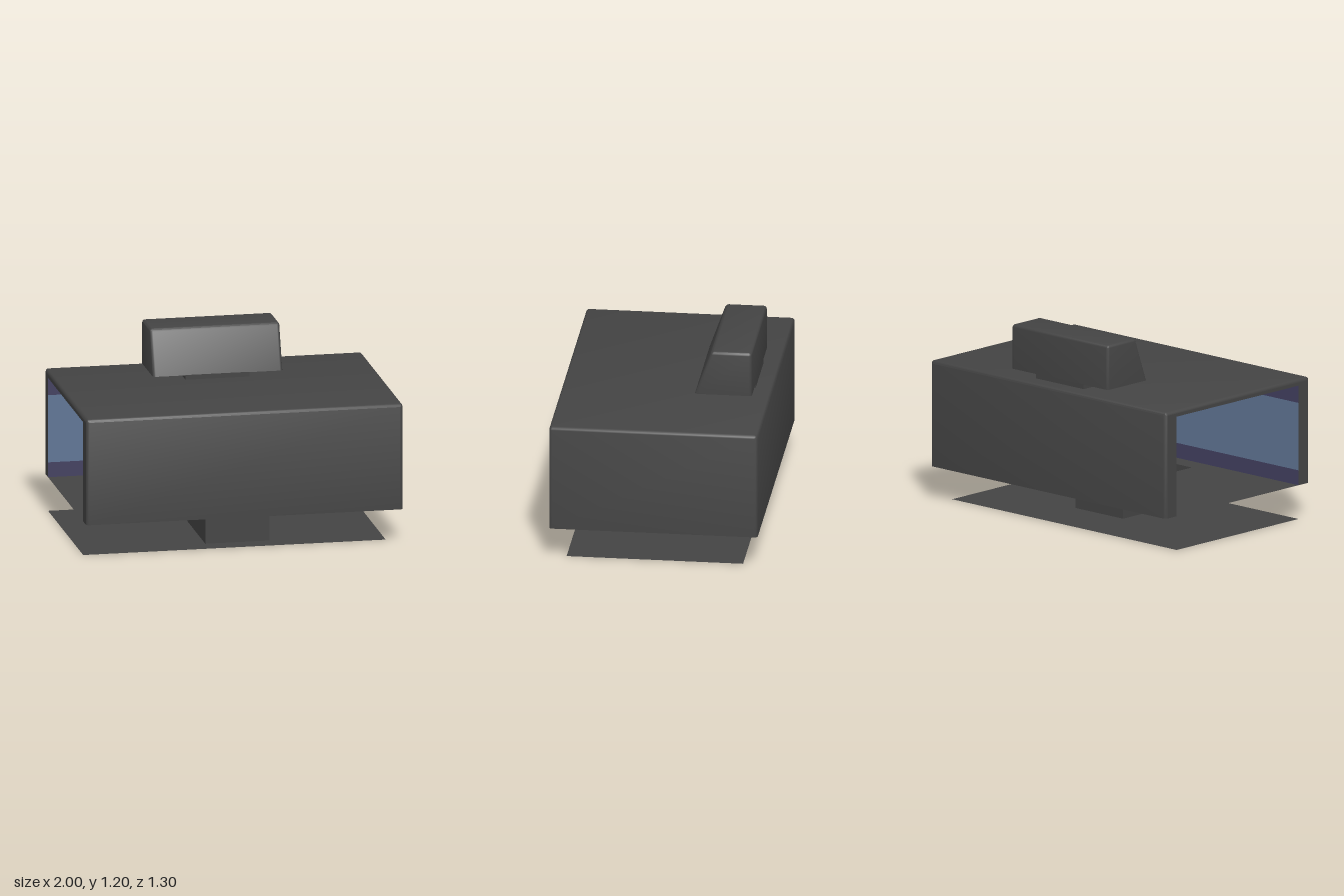
import * as THREE from 'three';
import { toCreasedNormals } from 'three/addons/utils/BufferGeometryUtils.js';

export function createModel() {
  const model = new THREE.Group();
  const flat = (name, color) => {
    const m = new THREE.MeshStandardMaterial({ color, side: THREE.DoubleSide });
    m.name = name;
    return m;
  };
  const grey = flat('dark grey', 0x444444);
  const purple = flat('dusky purple', 0x424060);
  const blue = flat('slate blue', 0x607595);

  const add = (name, geometry, material, parent = model) => {
    const mesh = new THREE.Mesh(geometry, material);
    mesh.name = name;
    parent.add(mesh);
    return mesh;
  };
  const group = (name) => {
    const g = new THREE.Group();
    g.name = name;
    model.add(g);
    return g;
  };
  const rect = (path, x0, x1, y0, y1) =>
    path.moveTo(x0, y0).lineTo(x1, y0).lineTo(x1, y1).lineTo(x0, y1).closePath();

  // Upright sheet, turned about y
  const panel = (name, mat, parent, w, y0, y1, x, z, turn = 0) => {
    const mesh = add(name, new THREE.PlaneGeometry(w, y1 - y0), mat, parent);
    mesh.position.set(x, (y0 + y1) / 2, z);
    mesh.rotation.y = turn;
  };

  // Level sheet, with an optional rectangular hole
  const sheet = (name, mat, parent, y, area, hole) => {
    const shape = new THREE.Shape();
    rect(shape, ...area);
    if (hole) {
      const h = new THREE.Path();
      rect(h, ...hole);
      shape.holes.push(h);
    }
    add(name, new THREE.ShapeGeometry(shape).rotateX(Math.PI / 2), mat, parent).position.y = y;
  };

  // Hood with rounded top and upright edges, open below; slope draws the front in with height
  const STEPS = 3;
  const hood = ({ x, z0, z1, y0, y1, r, slope = 0, openLeftEnd = false }) => {
    const rings = [];
    const ring = (y, inset) => {
      const k = r - inset;
      const front = z1 - slope * (y - y0) - inset;
      const corners = [[x - inset - k, front - k, 0], [-x + inset + k, front - k, 1],
        [-x + inset + k, z0 + inset + k, 2], [x - inset - k, z0 + inset + k, 3]];
      const points = [];
      for (const [cx, cz, q] of corners) {
        for (let i = 0; i <= STEPS; i++) {
          const a = (q + i / STEPS) * Math.PI / 2;
          points.push([cx + k * Math.cos(a), y, cz + k * Math.sin(a)]);
        }
      }
      rings.push(points);
    };
    ring(y0, 0);
    for (let i = 0; i <= STEPS; i++) {
      const a = (i / STEPS) * Math.PI / 2;
      ring(y1 - r + r * Math.sin(a), r * (1 - Math.cos(a)));
    }
    const pos = [];
    const n = rings[0].length;
    for (let j = 0; j < rings.length - 1; j++) {
      for (let i = 0; i < n; i++) {
        if (openLeftEnd && j === 0 && i === 2 * STEPS + 1) continue;
        const [a, b] = [rings[j][i], rings[j][(i + 1) % n]];
        const [c, d] = [rings[j + 1][i], rings[j + 1][(i + 1) % n]];
        pos.push(...a, ...c, ...b, ...b, ...c, ...d);
      }
    }
    const top = rings[rings.length - 1];
    for (let i = 1; i < n - 1; i++) pos.push(...top[0], ...top[i + 1], ...top[i]);
    const g = new THREE.BufferGeometry();
    g.setAttribute('position', new THREE.Float32BufferAttribute(pos, 3));
    g.computeVertexNormals();
    return toCreasedNormals(g, 0.6);
  };

  const FLOOR = 0.215, CEILING = 0.85, END = 0.91, DEPTH = 0.55;

  // Outer casing, open below and at one end
  add('casing', hood({ x: 1, z0: -0.65, z1: 0.65, y0: FLOOR, y1: 0.89, r: 0.02, openLeftEnd: true }), grey);

  // Rim round the open end
  const rim = new THREE.Shape();
  rim.moveTo(-0.63, FLOOR).lineTo(-DEPTH, FLOOR).lineTo(-DEPTH, CEILING).lineTo(DEPTH, CEILING)
    .lineTo(DEPTH, FLOOR).lineTo(0.63, FLOOR).lineTo(0.63, 0.87).lineTo(-0.63, 0.87).closePath();
  add('openEndRim', new THREE.ShapeGeometry(rim).rotateY(-Math.PI / 2), grey).position.x = -1;

  // Floor and base sheets share the opening of the lower duct
  const area = [-1, END, -DEPTH, DEPTH];
  const duct = [-0.205, 0.2, -0.19, 0.43];
  sheet('chamberFloor', grey, model, FLOOR, area, duct);
  sheet('basePlate', grey, model, 0, area, duct);

  // Lower duct, open top and bottom
  const lowerDuct = group('lowerDuct');
  for (const z of [-0.19, 0.43]) panel('ductWall', grey, lowerDuct, 0.405, 0, FLOOR, -0.0025, z);
  for (const x of [-0.205, 0.2]) panel('ductWall', grey, lowerDuct, 0.62, 0, FLOOR, x, 0.12, Math.PI / 2);

  // Inner chamber: each wall has a blue band between two purple strips
  const chamber = group('innerChamber');
  const bands = [['lowerStrip', purple, FLOOR, 0.31], ['band', blue, 0.31, 0.74], ['upperStrip', purple, 0.74, CEILING]];
  for (const [name, mat, y0, y1] of bands) {
    for (const z of [-DEPTH, DEPTH]) panel(name, mat, chamber, 1 + END, y0, y1, (END - 1) / 2, z);
    panel(name, mat, chamber, 2 * DEPTH, y0, y1, END, 0, Math.PI / 2);
  }
  sheet('chamberCeiling', purple, chamber, CEILING, area);

  // Outlet on top: short neck and a sloping-fronted box
  const outlet = group('topOutlet');
  add('neck', new THREE.BoxGeometry(0.405, 0.04, 0.355), grey, outlet).position.set(-0.0025, 0.9, -0.3675);
  add('outletBox', hood({ x: 0.41, z0: -0.545, z1: -0.19, y0: 0.918, y1: 1.2, r: 0.018, slope: 0.36 }), grey, outlet);
  sheet('outletUnderside', grey, outlet, 0.918, [-0.41, 0.41, -0.545, -0.19]);

  return model;
}
